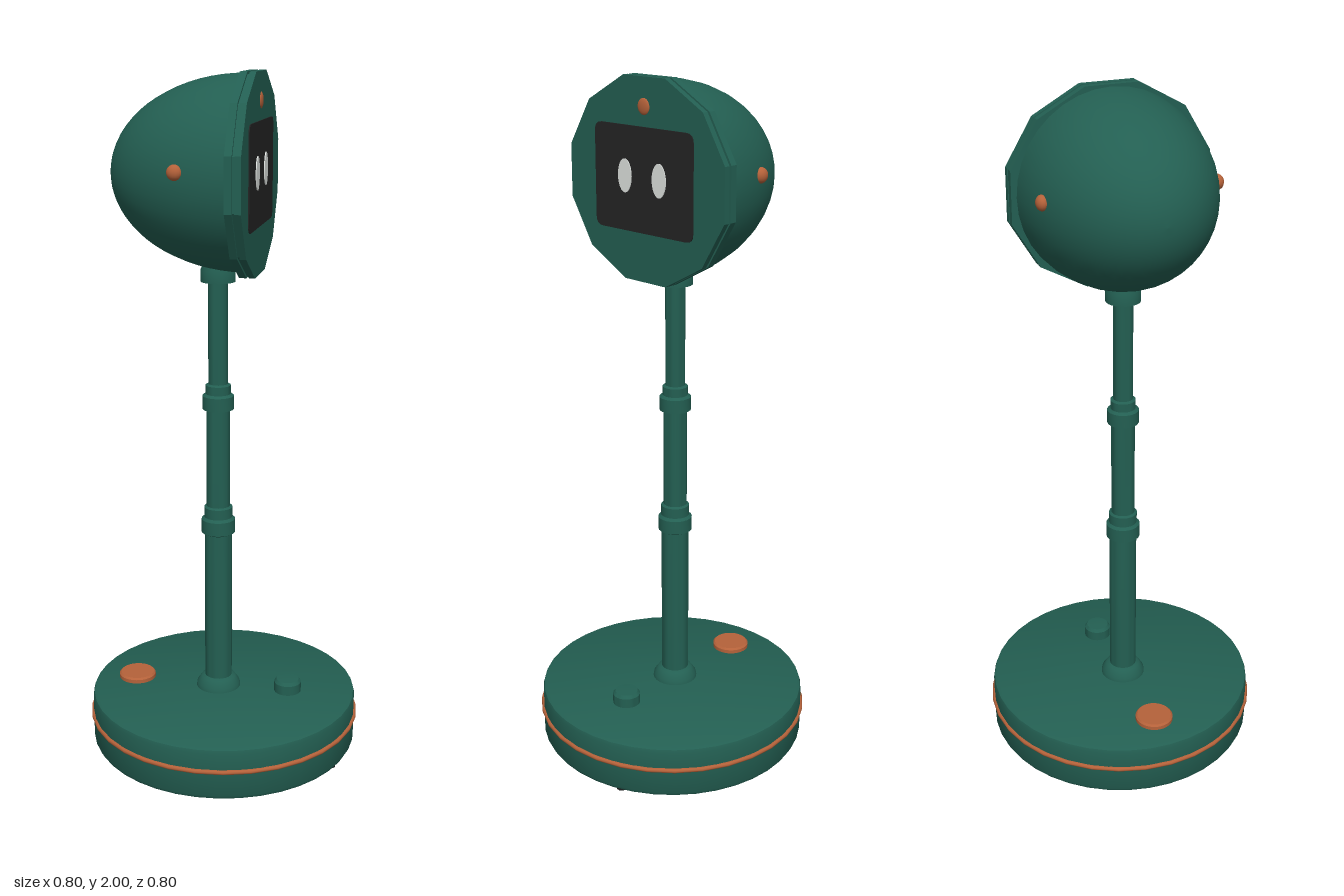
import * as THREE from 'three';
import { toCreasedNormals } from 'three/addons/utils/BufferGeometryUtils.js';

const mat = (name, color) => {
  const m = new THREE.MeshStandardMaterial({ color });
  m.name = name;
  return m;
};

export function createModel() {
  const green = mat('shellGreen', 0x235f52);
  const orange = mat('accentOrange', 0xb5623a);
  const black = mat('screenBlack', 0x242424);
  const rubber = mat('rubberDark', 0x1c1f1f);
  const white = mat('eyeWhite', 0xdfe3e0);

  const root = new THREE.Group();
  root.name = 'telepresenceRobot';
  const add = (name, geo, material, x = 0, y = 0, z = 0) => {
    const mesh = new THREE.Mesh(geo, material);
    mesh.name = name;
    mesh.position.set(x, y, z);
    root.add(mesh);
    return mesh;
  };
  const V = (x, y) => new THREE.Vector2(x, y);
  const lathe = (pts, sides = 32) =>
    toCreasedNormals(new THREE.LatheGeometry(pts.map((p) => V(...p)), sides), 0.6);
  const disc = (r, h, sides = 24) => new THREE.CylinderGeometry(r, r, h, sides);

  // Round base with softened edges and accent ring
  add('base', lathe([[0, 0.04], [0.375, 0.04], [0.388, 0.044], [0.394, 0.055], [0.394, 0.185],
    [0.391, 0.195], [0.382, 0.2], [0, 0.2]], 40), green);
  const ring = add('baseRing', new THREE.TorusGeometry(0.395, 0.007, 8, 32), orange, 0, 0.13, 0);
  ring.rotation.x = Math.PI / 2;

  // Controls on the base top
  add('powerButton', lathe([[0, 0], [0.055, 0], [0.055, 0.011], [0.05, 0.016], [0, 0.016]]), orange, -0.27, 0.2, 0);
  add('knob', lathe([[0, 0], [0.04, 0], [0.04, 0.031], [0.033, 0.04], [0, 0.042]]), green, 0.195, 0.198, 0);

  // Telescopic neck: three tubes with stepped collars
  const nx = -0.016;
  add('neck', lathe([[0.066, 0.198], [0.064, 0.212], [0.05, 0.232], [0.04, 0.236], [0.04, 0.69],
    [0.049, 0.695], [0.049, 0.735], [0.041, 0.742], [0.041, 0.772], [0.034, 0.776], [0.034, 1.065],
    [0.045, 1.068], [0.045, 1.107], [0.036, 1.113], [0.036, 1.138], [0.028, 1.142], [0.028, 1.435],
    [0.049, 1.435], [0.049, 1.468], [0.035, 1.5], [0, 1.5]], 24), green, nx, 0, 0.003);

  // Head shell: half ellipsoid opening toward the face
  const headY = 1.73;
  const shellProfile = [];
  for (let i = 0; i <= 18; i++) {
    const a = (i / 18) * Math.PI / 2;
    shellProfile.push(V(0.265 * Math.sin(a), -0.373 * Math.cos(a)));
  }
  const shell = add('headShell', new THREE.LatheGeometry(shellProfile, 36), green, 0.062, headY, 0);
  shell.rotation.z = -Math.PI / 2;

  // Twelve-sided face plate in two layers with a groove
  const face = new THREE.Group();
  face.name = 'facePlate';
  face.position.set(0, headY, 0.003);
  root.add(face);
  [[0.068, 0.02, 1], [0.08, 0.012, 0.975], [0.0935, 0.017, 1]].forEach(([x, h, s]) => {
    const layer = new THREE.CylinderGeometry(0.28 * s, 0.28 * s, h, 12);
    layer.rotateY(Math.PI / 12);
    layer.rotateZ(-Math.PI / 2);
    layer.scale(1, 1, 1.045);
    const m = new THREE.Mesh(layer.toNonIndexed(), green);
    m.geometry.computeVertexNormals();
    m.name = 'facePlateLayer';
    m.position.x = x;
    face.add(m);
  });

  // Screen with clipped round corners
  const w = 0.18, h = 0.14, r = 0.025;
  const s = new THREE.Shape();
  s.moveTo(-w + r, -h);
  s.lineTo(w - r, -h); s.quadraticCurveTo(w, -h, w, -h + r);
  s.lineTo(w, h - r); s.quadraticCurveTo(w, h, w - r, h);
  s.lineTo(-w + r, h); s.quadraticCurveTo(-w, h, -w, h - r);
  s.lineTo(-w, -h + r); s.quadraticCurveTo(-w, -h, -w + r, -h);
  const screenGeo = new THREE.ExtrudeGeometry(s, { depth: 0.004, bevelEnabled: false, curveSegments: 4 });
  screenGeo.rotateY(Math.PI / 2);
  add('screen', screenGeo, black, 0.101, headY + 0.003, 0.006);

  // Oval eyes, camera dot and side buttons
  for (const side of [-1, 1]) {
    const eye = disc(1, 0.003, 24);
    eye.rotateZ(-Math.PI / 2);
    eye.scale(1, 0.045, 0.025);
    add('eye', eye, white, 0.106, 1.74, 0.009 + side * 0.063);
    const b = add('sideButton', new THREE.SphereGeometry(0.021, 16, 12), orange, -0.08, 1.755, side * 0.243);
    b.scale.z = 0.8;
  }
  const cam = add('cameraDot', new THREE.SphereGeometry(0.022, 16, 12), orange, 0.101, 1.925, 0.004);
  cam.scale.x = 0.3;

  // Underside: castors, roller, battery plate
  for (const x of [-0.31, 0.307])
    add('castor', new THREE.SphereGeometry(0.027, 16, 12), rubber, x, 0.027, 0);
  const roller = add('roller', new THREE.CapsuleGeometry(0.021, 0.17, 6, 14), rubber, 0.112, 0.037, 0);
  roller.rotation.x = Math.PI / 2;
  add('batteryPlate', new THREE.BoxGeometry(0.16, 0.016, 0.2), rubber, -0.14, 0.032, 0);

  // Two spinning brushes with three arms each, plus sensors and contacts
  for (const side of [-1, 1]) {
    const brush = new THREE.Group();
    brush.name = 'sideBrush';
    brush.position.set(0.24, 0, side * 0.19);
    const hub = new THREE.Mesh(disc(0.016, 0.03, 16), orange);
    hub.name = 'brushHub';
    hub.position.y = 0.027;
    brush.add(hub);
    for (let i = 0; i < 3; i++) {
      const geo = new THREE.BoxGeometry(0.06, 0.005, 0.007);
      geo.translate(0.036, 0.033, 0);
      const arm = new THREE.Mesh(geo, rubber);
      arm.name = 'brushArm';
      arm.rotation.y = (i * Math.PI * 2) / 3;
      brush.add(arm);
    }
    root.add(brush);
    add('sensor', disc(0.014, 0.008, 14), rubber, 0.345, 0.038, side * 0.13);
    add('sensor', disc(0.014, 0.008, 14), rubber, -0.31, 0.038, side * 0.155);
    add('contact', new THREE.BoxGeometry(0.03, 0.006, 0.02), orange, 0.2, 0.038, side * 0.075);
  }
  return root;
}
